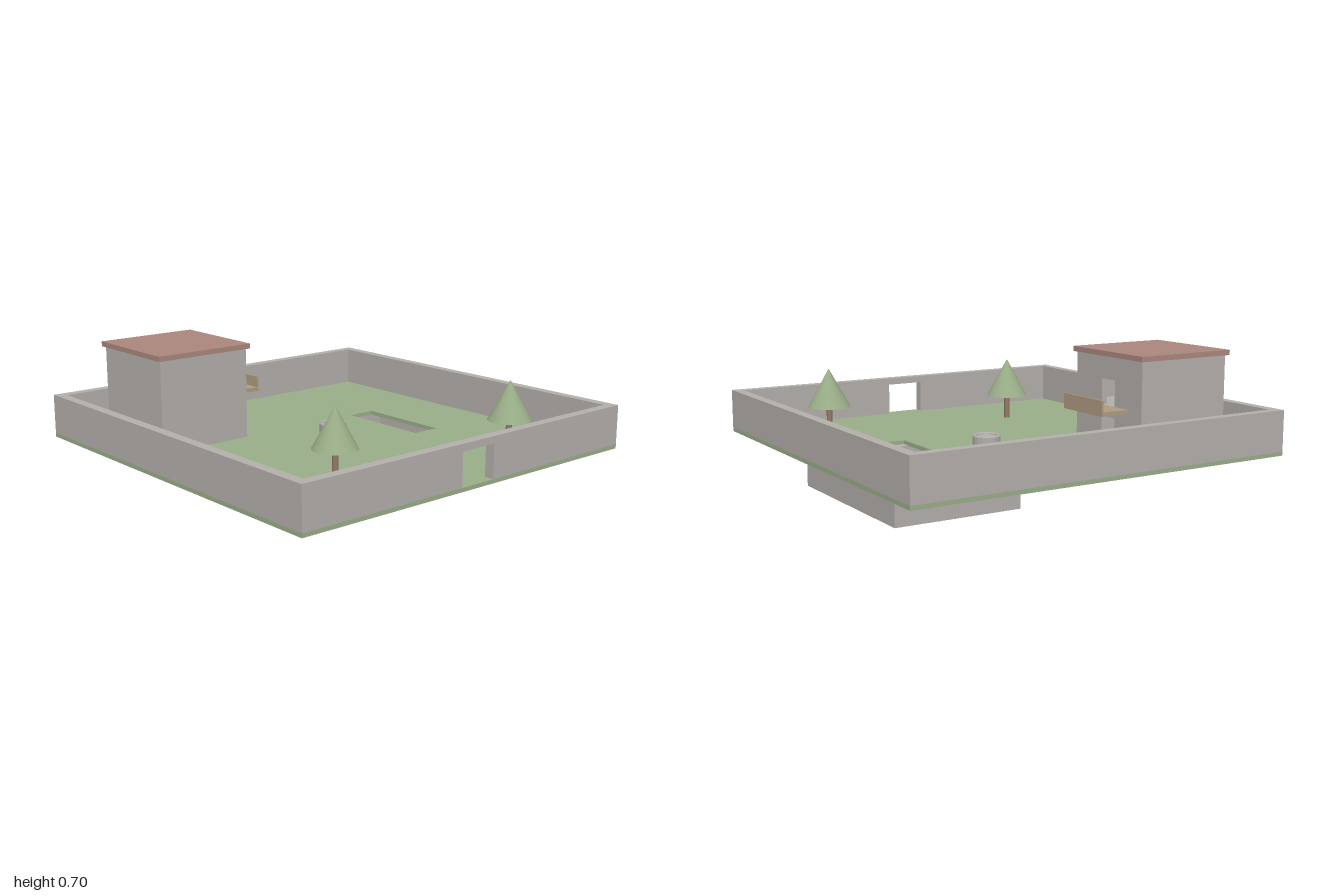
import * as THREE from 'three';

const mat = (name, color) => Object.assign(new THREE.MeshStandardMaterial({ color }), { name });

export function createModel() {
  const root = new THREE.Group();
  root.name = 'walledGarden';
  const stone = mat('stone', 0xb3afab);
  const grass = mat('grass', 0x9aae8a);
  const leaf = mat('foliage', 0x9aae88);
  const tile = mat('roofTile', 0xab877d);
  const wood = mat('wood', 0xae9c80);
  const bark = mat('bark', 0x947a68);

  const add = (name, geo, material, parent = root) => {
    const m = new THREE.Mesh(geo, material);
    m.name = name;
    parent.add(m);
    return m;
  };
  // box given by its two extreme corners
  const block = (name, [x0, y0, z0], [x1, y1, z1], material, parent) => {
    const m = add(name, new THREE.BoxGeometry(x1 - x0, y1 - y0, z1 - z0), material, parent);
    m.position.set((x0 + x1) / 2, (y0 + y1) / 2, (z0 + z1) / 2);
    return m;
  };
  const poly = (pts) => pts.map(([x, y]) => new THREE.Vector2(x, y));
  const rect = (x0, y0, x1, y1) => poly([[x0, y0], [x1, y0], [x1, y1], [x0, y1]]);
  const plate = (outline, holes, depth) => {
    const s = new THREE.Shape(outline);
    holes.forEach((h) => s.holes.push(new THREE.Path(h)));
    return new THREE.ExtrudeGeometry(s, { depth, bevelEnabled: false });
  };
  const G = 0.225; // ground level
  const W = 0.425; // top of the garden wall

  // lawn with the stairwell cut through it
  const lawn = plate(rect(-1, -1, 1, 1), [rect(0.4, -0.3, 0.55, 0.2)], 0.02);
  lawn.rotateX(Math.PI / 2);
  add('lawn', lawn, grass).position.y = G;

  // garden walls, the front one with a gateway
  const walls = new THREE.Group();
  walls.name = 'gardenWalls';
  root.add(walls);
  block('backWall', [-1, G, -1], [1, W, -0.95], stone, walls);
  for (const s of [-1, 1]) {
    block('sideWall', [s * 0.975 - 0.025, G, -0.95], [s * 0.975 + 0.025, W, 0.95], stone, walls);
  }
  const front = poly([[-1, G], [-0.1, G], [-0.1, 0.39], [0.1, 0.39], [0.1, G], [1, G], [1, W], [-1, W]]);
  add('frontWall', plate(front, [], 0.05), stone, walls).position.z = 0.95;

  // house: hollow shell, lower doorway and upper balcony door on the right side
  const house = new THREE.Group();
  house.name = 'house';
  root.add(house);
  const T = 0.03, H = 0.68;
  block('houseFront', [-0.8, G, -0.3 - T], [-0.3 - T, H, -0.3], stone, house);
  block('houseBack', [-0.8, G, -0.8], [-0.3 - T, H, -0.8 + T], stone, house);
  block('houseLeft', [-0.8, G, -0.8 + T], [-0.8 + T, H, -0.3 - T], stone, house);
  const doorSide = poly([[0.3, G], [0.5, G], [0.5, 0.39], [0.6, 0.39], [0.6, G], [0.8, G], [0.8, H], [0.3, H]]);
  const doorWall = plate(doorSide, [rect(0.5, 0.445, 0.6, 0.57)], T);
  doorWall.rotateY(Math.PI / 2);
  add('doorWall', doorWall, stone, house).position.x = -0.3 - T;
  block('upperFloor', [-0.8 + T, 0.425, -0.8 + T], [-0.3 - T, 0.445, -0.3 - T], stone, house);
  block('roof', [-0.815, H, -0.815], [-0.285, 0.705, -0.285], tile, house);

  // balcony
  block('balconyDeck', [-0.3, 0.425, -0.7], [-0.15, 0.445, -0.4], wood, house);
  block('balconyRail', [-0.16, 0.445, -0.7], [-0.15, 0.5, -0.4], wood, house);

  // cellar: open-topped box under the lawn
  const cellar = new THREE.Group();
  cellar.name = 'cellar';
  root.add(cellar);
  const ring = plate(rect(0.175, -0.522, 0.825, 0.428), [rect(0.2, -0.497, 0.8, 0.403)], 0.185);
  ring.rotateX(Math.PI / 2);
  add('cellarWalls', ring, stone, cellar).position.y = 0.205;
  block('cellarFloor', [0.175, 0, -0.522], [0.825, 0.02, 0.428], stone, cellar);

  // stairs descending toward the back
  for (let i = 0; i < 10; i++) {
    const z = -0.3 + i * 0.05;
    block('stairStep', [0.4, 0.02, z], [0.55, 0.04 + i * 0.0185, z + 0.05], stone, cellar);
  }

  // well with a rounded rim
  const well = new THREE.Group();
  well.name = 'well';
  well.position.set(0.1, G, -0.1);
  root.add(well);
  add('wellBody', new THREE.CylinderGeometry(0.07, 0.07, 0.04, 16), stone, well).position.y = 0.02;
  const rim = add('wellRim', new THREE.TorusGeometry(0.06, 0.01, 8, 20), stone, well);
  rim.rotation.x = Math.PI / 2;
  rim.position.y = 0.04;

  // trees
  for (const [x, z] of [[-0.4, 0.5], [0.6, 0.65]]) {
    const tree = new THREE.Group();
    tree.name = 'tree';
    tree.position.set(x, G, z);
    root.add(tree);
    add('trunk', new THREE.CylinderGeometry(0.015, 0.015, 0.125, 10), bark, tree).position.y = 0.0625;
    add('crown', new THREE.ConeGeometry(0.11, 0.2, 16), leaf, tree).position.y = 0.225;
  }
  return root;
}
